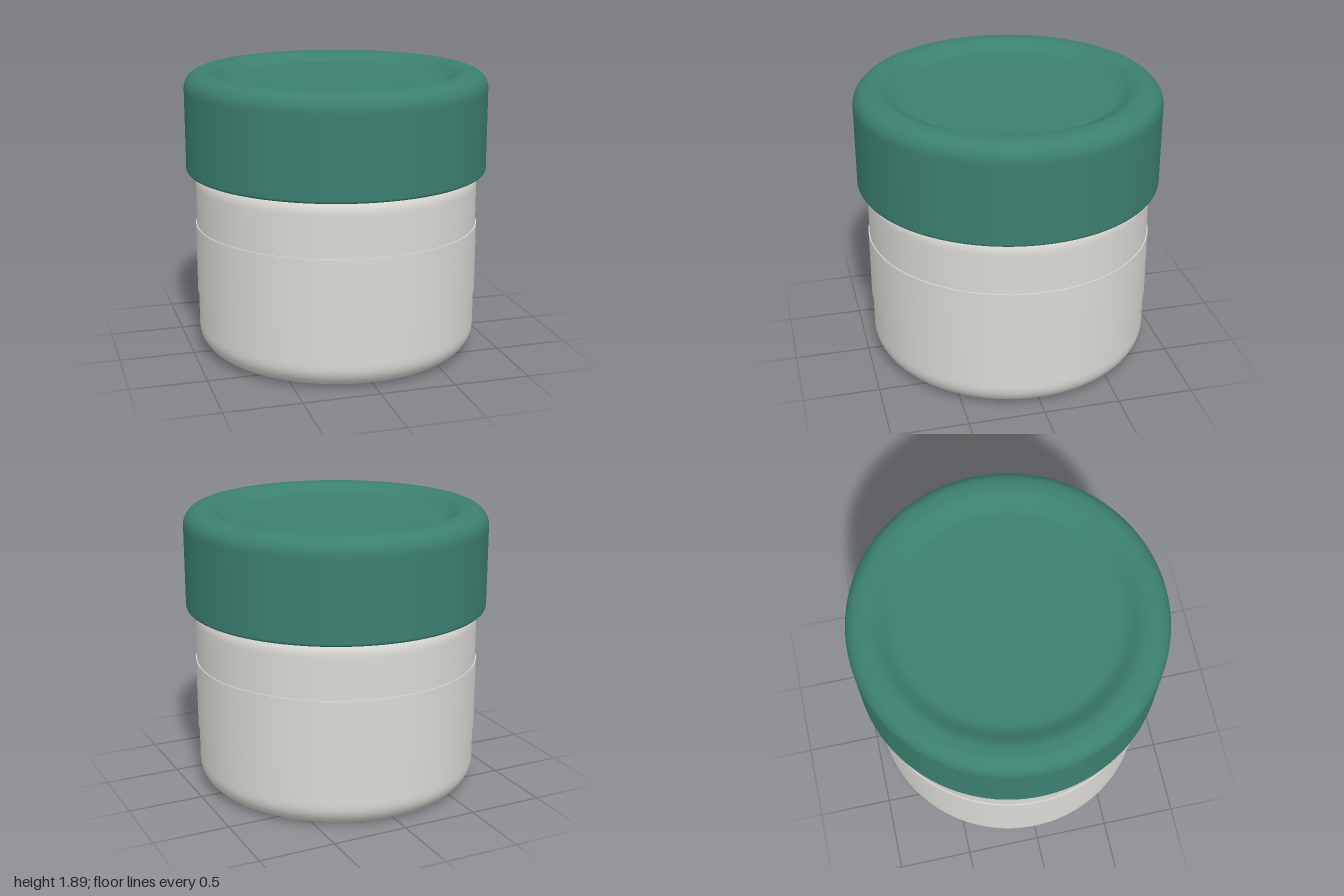
import * as THREE from 'three';

const SEGMENTS = 128;

// Points of a circular corner, angles in degrees
function arc(cx, cy, r, from, to, steps = 10) {
  return Array.from({ length: steps + 1 }, (_, i) => {
    const a = THREE.MathUtils.degToRad(from + ((to - from) * i) / steps);
    return new THREE.Vector2(cx + r * Math.cos(a), cy + r * Math.sin(a));
  });
}

// Smooth S-shaped step between two profile points
function sCurve(x0, y0, x1, y1, steps = 12) {
  return Array.from({ length: steps + 1 }, (_, i) => {
    const t = i / steps;
    return new THREE.Vector2(x0 + (x1 - x0) * t, y0 + (y1 - y0) * t * t * (3 - 2 * t));
  });
}

function lathe(name, sections, material) {
  // Each section is its own surface, so the edges between sections stay sharp
  const group = new THREE.Group();
  group.name = name;
  sections.forEach((points, i) => {
    const mesh = new THREE.Mesh(new THREE.LatheGeometry(points, SEGMENTS), material);
    mesh.name = `${name}Surface${i + 1}`;
    group.add(mesh);
  });
  return group;
}

export function createModel() {
  const v = (x, y) => new THREE.Vector2(x, y);
  const jarGrey = new THREE.MeshStandardMaterial({ color: 0xdcdad5 });
  jarGrey.name = 'jarGrey';
  const lidGreen = new THREE.MeshStandardMaterial({ color: 0x3c8070 });
  lidGreen.name = 'lidGreen';

  const model = new THREE.Group();
  model.name = 'lidded jar';

  // Jar: flat base, rounded foot, straight wall, shoulder and neck inside the lid
  model.add(lathe('jar', [
    [v(0, 0), v(0.4, 0), v(0.76, 0), ...arc(0.78, 0.16, 0.16, -90, 0),
      v(0.94, 0.18), v(0.94, 1.13), ...arc(0.82, 1.15, 0.12, 0, 90)],
    [v(0.82, 1.27), v(0.82, 1.7)],
    [v(0.82, 1.7), v(0, 1.7)],
  ], jarGrey));

  // Label: a thin band wrapped round the wall
  model.add(lathe('label', [
    [v(0.94, 0.4), v(0.947, 0.4)],
    [v(0.947, 0.4), v(0.947, 0.87)],
    [v(0.947, 0.87), v(0.94, 0.87)],
  ], jarGrey));

  // Lid: hollow skirt, rounded rim and a shallow dish in the top
  model.add(lathe('lid', [
    [v(0, 1.72), v(0.88, 1.72)],
    [v(0.88, 1.72), v(0.88, 1.23)],
    [v(0.88, 1.23), v(0.96, 1.23), ...arc(0.98, 1.25, 0.02, -90, 0, 5),
      v(1, 1.27), v(1, 1.76), ...arc(0.89, 1.78, 0.11, 0, 90),
      ...sCurve(0.85, 1.89, 0.7, 1.83), v(0.66, 1.83), v(0, 1.83)],
  ], lidGreen));

  return model;
}
